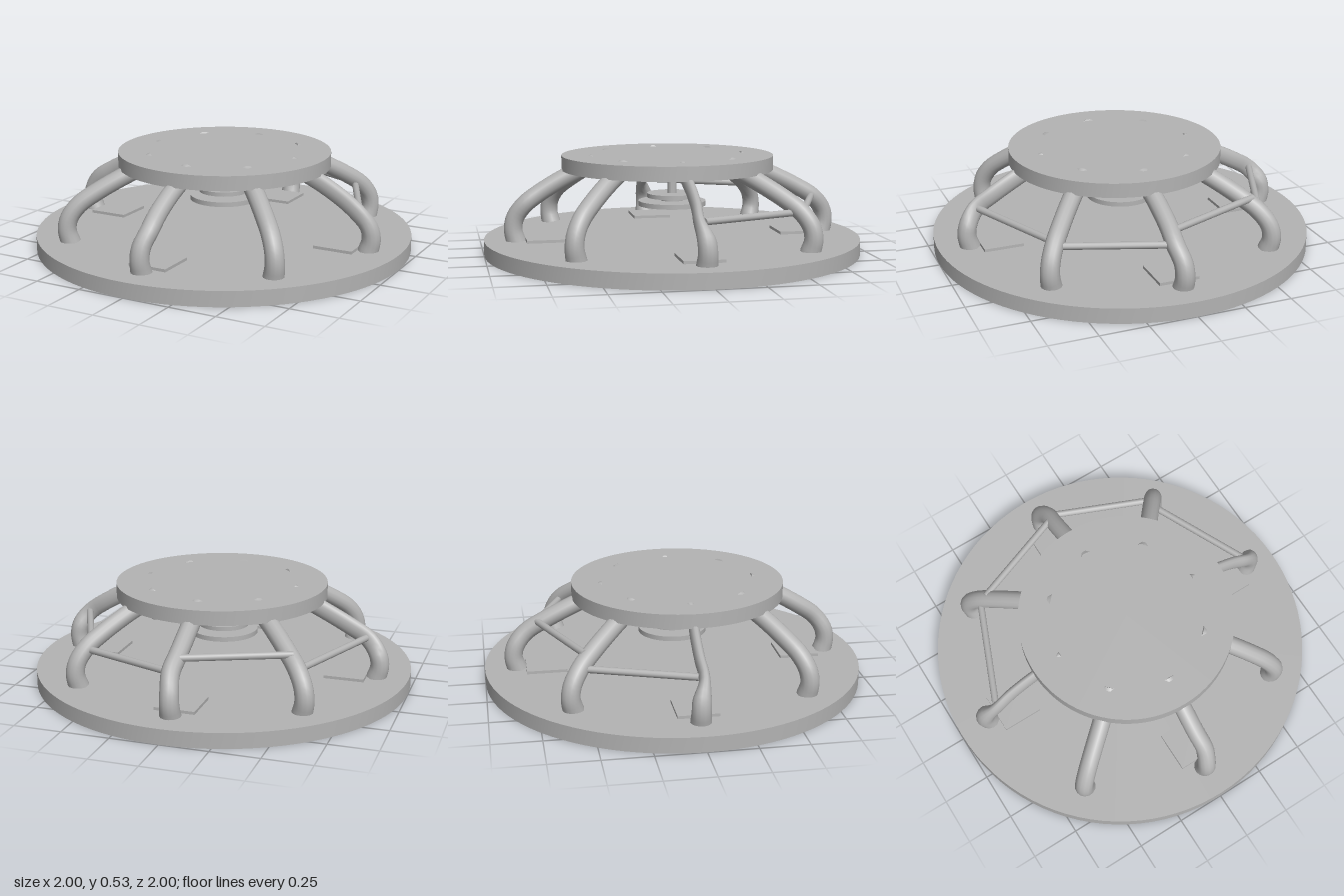
import * as THREE from 'three';
import { toCreasedNormals } from 'three/addons/utils/BufferGeometryUtils.js';

const grey = new THREE.MeshStandardMaterial({ color: 0xb3b3b3 });
grey.name = 'plain grey';

// Centre of the upper deck, slightly off the base centre
const DECK = new THREE.Vector3(0.02, 0, 0.03);

function add(group, name, geometry, x = 0, y = 0, z = 0) {
  const mesh = new THREE.Mesh(geometry, grey);
  mesh.name = name;
  mesh.position.set(x, y, z);
  group.add(mesh);
  return mesh;
}

// Disc standing between two heights
function disc(group, name, radius, y0, y1, x = 0, z = 0, sides = 64) {
  const g = toCreasedNormals(new THREE.CylinderGeometry(radius, radius, y1 - y0, sides), 0.6);
  return add(group, name, g, x, (y0 + y1) / 2, z);
}

// Capped sweep along a curve; side is the horizontal axis of the section
function sweep(curve, side, radiusAt, squashAt, steps = 24, sides = 14) {
  const pos = [], index = [];
  for (let i = -1; i <= steps + 1; i++) {
    const t = THREE.MathUtils.clamp(i / steps, 0, 1);
    const cap = i < 0 || i > steps ? 0 : 1;
    const p = curve.getPoint(t);
    const up = new THREE.Vector3().crossVectors(curve.getTangent(t), side).normalize();
    for (let j = 0; j < sides; j++) {
      const a = (j / sides) * Math.PI * 2, r = radiusAt(t) * cap;
      const v = p.clone().addScaledVector(side, Math.cos(a) * r * squashAt(t))
        .addScaledVector(up, Math.sin(a) * r);
      pos.push(v.x, v.y, v.z);
    }
  }
  for (let i = 0; i < steps + 2; i++) {
    for (let j = 0; j < sides; j++) {
      const a = i * sides + j, b = i * sides + (j + 1) % sides;
      index.push(a, b, a + sides, b, b + sides, a + sides);
    }
  }
  const g = new THREE.BufferGeometry();
  g.setAttribute('position', new THREE.Float32BufferAttribute(pos, 3));
  g.setIndex(index);
  return toCreasedNormals(g, 0.9);
}

// Leg centre line: radius from the axis, height, sideways sway
const LEG = [
  [0.832, 0.075, 0], [0.848, 0.14, 0], [0.835, 0.205, 0.2], [0.78, 0.275, 1],
  [0.69, 0.335, 0.4], [0.57, 0.4, 0], [0.47, 0.447, 0], [0.385, 0.486, 0],
];

function addLeg(group, k) {
  const a = (k / 8) * Math.PI * 2;
  const out = new THREE.Vector3(Math.cos(a), 0, Math.sin(a));
  const side = new THREE.Vector3(-out.z, 0, out.x);
  const flat = k % 4 === 0;
  const sway = flat ? new THREE.Vector3(0, 0, 0.022)
    : new THREE.Vector3(k % 4 === 2 ? 0.015 : 0, 0, 0);
  const points = LEG.map(([r, y, s]) => {
    const blend = THREE.MathUtils.clamp((0.85 - r) / 0.35, 0, 1);
    return out.clone().multiplyScalar(r).setY(y).addScaledVector(DECK, blend).addScaledVector(sway, s);
  });
  const radius = (t) => 0.047 + 0.007 * Math.exp(-t * 9);
  // The two side legs flatten above the ankle
  const squash = (t) => flat ? 1 - 0.45 * THREE.MathUtils.smoothstep(t, 0.25, 0.45) : 1;
  add(group, 'leg' + (k + 1), sweep(new THREE.CatmullRomCurve3(points), side, radius, squash));
}

function addStrut(group, name, from, to) {
  const a = new THREE.Vector3(...from), b = new THREE.Vector3(...to);
  const dir = b.clone().sub(a);
  const m = add(group, name, new THREE.CylinderGeometry(0.018, 0.018, dir.length(), 12));
  m.position.copy(a).add(b).multiplyScalar(0.5);
  m.quaternion.setFromUnitVectors(new THREE.Vector3(0, 1, 0), dir.normalize());
}

export function createModel() {
  const model = new THREE.Group();
  model.name = 'steppedPlatform';

  disc(model, 'base', 1, 0, 0.08, 0, 0, 96);
  disc(model, 'upperDeck', 0.56, 0.445, 0.52, DECK.x, DECK.z, 80);

  // Hanging discs under the deck
  disc(model, 'lowerHangingDisc', 0.18, 0.245, 0.27);
  disc(model, 'upperHangingDisc', 0.133, 0.288, 0.31);
  disc(model, 'hub', 0.06, 0.27, 0.288);
  disc(model, 'hangingRod', 0.025, 0.31, 0.45, 0, 0, 16);

  for (let k = 0; k < 8; k++) addLeg(model, k);

  // Braces joining the rear legs
  addStrut(model, 'rightBrace', [-0.77, 0.285, 0], [-0.55, 0.275, -0.54]);
  addStrut(model, 'rearRightBrace', [-0.52, 0.342, -0.52], [0, 0.335, -0.72]);
  addStrut(model, 'rearLeftBrace', [0, 0.28, -0.78], [0.56, 0.268, -0.55]);
  addStrut(model, 'leftBrace', [0.78, 0.28, 0], [0.54, 0.27, -0.52]);

  // Square pads on the base
  for (const [x, z] of [[0.68, 0], [-0.68, 0], [0, 0.68], [0, -0.68]]) {
    add(model, 'pad', new THREE.BoxGeometry(0.21, 0.02, 0.21), x, 0.085, z);
  }
  return model;
}
